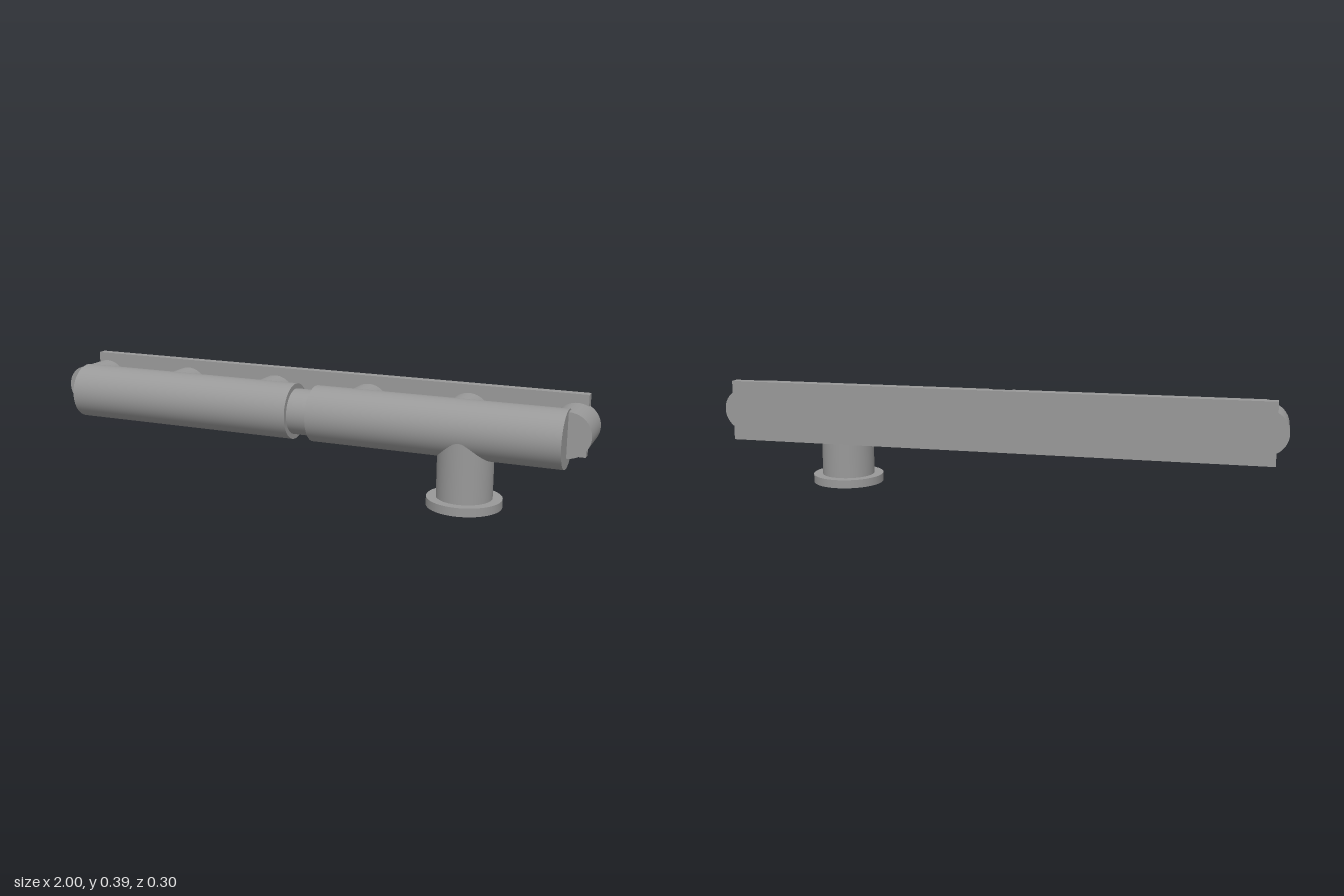
import * as THREE from 'three';

const material = new THREE.MeshStandardMaterial({ color: 0x999999 });
const AXIS_Y = 0.2665; // height of the main pipe's axis
const AXIS_Z = 0.022;

// Capped cylinder running along the given axis, centred on (x, y, z)
function pipe(name, axis, radius, length, x, y, z) {
  const geometry = new THREE.CylinderGeometry(radius, radius, length, 64);
  if (axis === 'x') geometry.rotateZ(Math.PI / 2);
  if (axis === 'z') geometry.rotateX(Math.PI / 2);
  const mesh = new THREE.Mesh(geometry, material);
  mesh.name = name;
  mesh.position.set(x, y, z);
  return mesh;
}

export function createModel() {
  const model = new THREE.Group();
  model.name = 'exhaustManifold';

  // Two collector pipes joined by a narrower neck
  for (const [side, name] of [[1, 'leftCollector'], [-1, 'rightCollector']]) {
    model.add(pipe(name, 'x', 0.0995, 0.883, side * 0.4805, AXIS_Y, AXIS_Z));
  }
  model.add(pipe('joiningNeck', 'x', 0.0815, 0.12, 0, AXIS_Y, AXIS_Z));

  // Six evenly spaced ports leading back to the mounting plate
  const ports = new THREE.Group();
  ports.name = 'ports';
  for (let i = 0; i < 6; i++) {
    ports.add(pipe('port' + (i + 1), 'z', 0.077, 0.162, (i - 2.5) * 0.3692, 0.281, -0.0525));
  }
  model.add(ports);

  // Long mounting plate
  const plate = new THREE.Mesh(new THREE.BoxGeometry(1.92, 0.215, 0.034), material);
  plate.name = 'mountingPlate';
  plate.position.set(0, 0.2805, -0.134);
  model.add(plate);

  // Downward outlet with its round flange
  model.add(pipe('outletPipe', 'y', 0.0955, 0.247, 0.588, 0.1435, AXIS_Z));
  model.add(pipe('outletFlange', 'y', 0.129, 0.03, 0.588, 0.015, AXIS_Z));

  return model;
}
